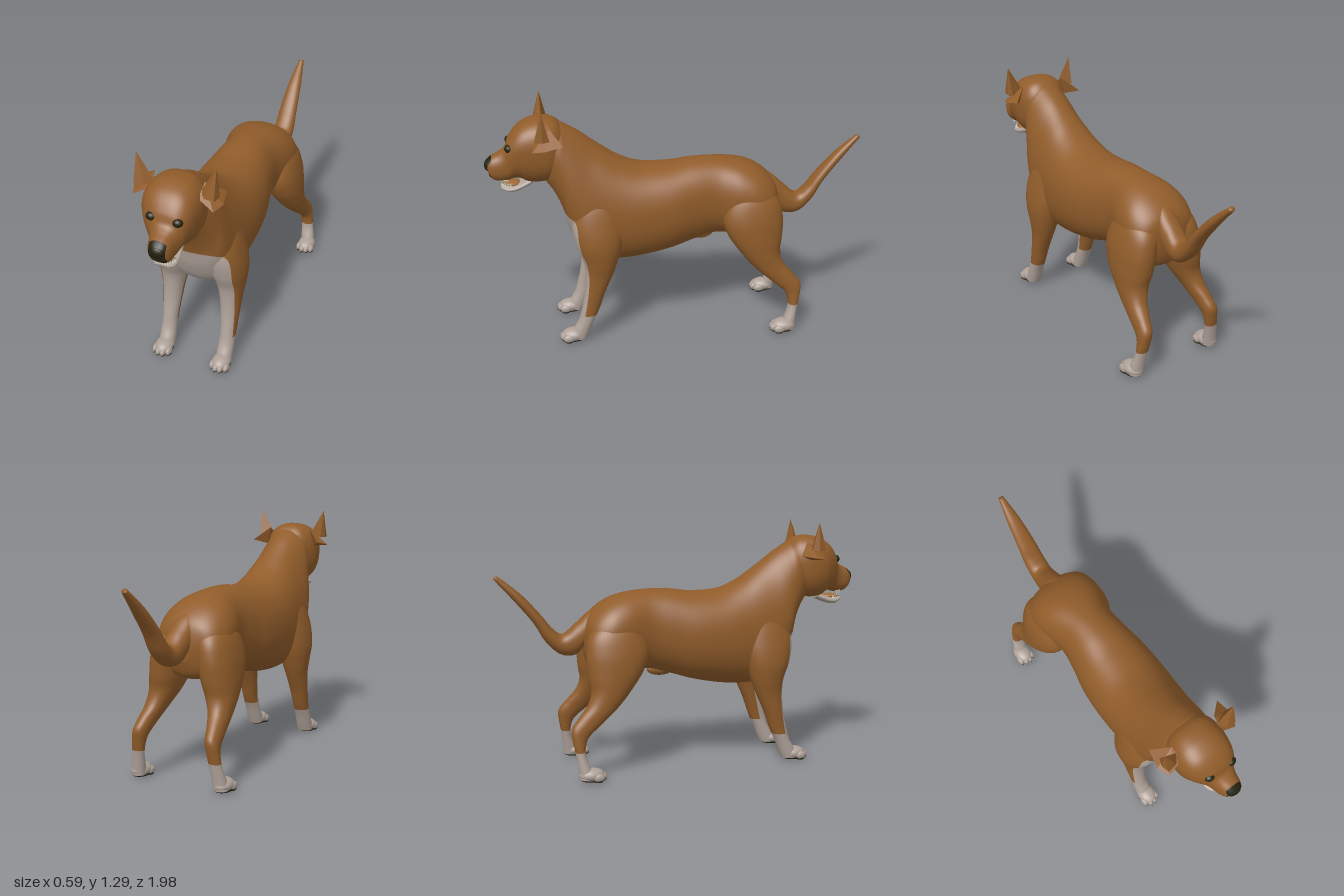
import * as THREE from 'three';
import { ConvexGeometry } from 'three/addons/geometries/ConvexGeometry.js';

const mat = (name, color) => {
  const m = new THREE.MeshStandardMaterial({ color });
  m.name = name;
  return m;
};

// Smooth loft. Each ring: [zTop, yTop, zBottom, yBottom, halfWidth, x, bottomWidening].
// Where field(x, y, z) is positive the surface takes the second material, cut along field = 0.
function loft(rings, { sides = 40, steps = 10, power = 0.92, side = 1, field = () => -1 } = {}) {
  const last = rings.length - 1, rows = last * steps, pos = [], lists = [[], []], cuts = {};
  const at = (i, k) => rings[Math.min(last, Math.max(0, i))][k] || 0;
  const spline = (i, t, k) => {
    const a = at(i - 1, k), b = at(i, k), c = at(i + 1, k), d = at(i + 2, k);
    return b + 0.5 * t * (c - a + t * (2 * a - 5 * b + 4 * c - d + t * (3 * (b - c) + d - a)));
  };
  const soft = v => Math.sign(v) * Math.abs(v) ** power;
  for (let r = 0; r <= rows; r++) {
    const i = Math.min(last - 1, Math.floor(r / steps)), t = r / steps - i;
    const [zt, yt, zb, yb, w, x, k] = [0, 1, 2, 3, 4, 5, 6].map(n => spline(i, t, n));
    for (let j = 0; j < sides; j++) {
      const a = j / sides * Math.PI * 2, c = soft(Math.cos(a)), s = soft(Math.sin(a));
      pos.push(side * x + w * c * (1 - k * s),
        (yt + yb) / 2 + (yt - yb) / 2 * s, (zt + zb) / 2 + (zt - zb) / 2 * s);
    }
  }
  for (const q of [rings[0], rings[last]])
    pos.push(side * (q[5] || 0), (q[1] + q[3]) / 2, (q[0] + q[2]) / 2);
  const value = i => field(pos[i * 3], pos[i * 3 + 1], pos[i * 3 + 2]);
  const cut = (a, b) => {
    const key = Math.min(a, b) + '_' + Math.max(a, b);
    if (cuts[key] === undefined) {
      const t = value(a) / (value(a) - value(b));
      cuts[key] = pos.length / 3;
      pos.push(...[0, 1, 2].map(k => pos[a * 3 + k] * (1 - t) + pos[b * 3 + k] * t));
    }
    return cuts[key];
  };
  const face = (...tri) => {
    const inside = tri.map(i => value(i) > 0);
    for (const k of [0, 1]) {
      const poly = [];
      tri.forEach((a, i) => {
        const n = (i + 1) % 3;
        if (inside[i] === !!k) poly.push(a);
        if (inside[i] !== inside[n]) poly.push(cut(a, tri[n]));
      });
      for (let i = 2; i < poly.length; i++) lists[k].push(poly[0], poly[i - 1], poly[i]);
    }
  };
  const end = (rows + 1) * sides;
  for (let j = 0; j < sides; j++) {
    const j2 = (j + 1) % sides;
    for (let r = 0; r < rows; r++) {
      const a = r * sides + j, b = r * sides + j2;
      face(a, b, a + sides);
      face(b, b + sides, a + sides);
    }
    face(end, j2, j);
    face(end + 1, rows * sides + j, rows * sides + j2);
  }
  const g = new THREE.BufferGeometry();
  g.setAttribute('position', new THREE.Float32BufferAttribute(pos, 3));
  g.setIndex([...lists[0], ...lists[1]]);
  g.addGroup(0, lists[0].length, 0);
  g.addGroup(lists[0].length, lists[1].length, 1);
  g.computeVertexNormals();
  return g;
}

export function createModel() {
  const dog = new THREE.Group();
  dog.name = 'dog';
  const fur = mat('brown fur', 0x905c2a), pale = mat('pale fur', 0xaea198);
  const dark = mat('dark skin', 0x23220f), tooth = mat('teeth', 0xd2cdc0), tongueMat = mat('tongue', 0xa06a38);
  const add = (name, geo, m) => {
    const mesh = new THREE.Mesh(geo, m);
    mesh.name = name;
    dog.add(mesh);
    return mesh;
  };
  const blob = (name, m, p, r, seg = 20) => {
    const b = add(name, new THREE.SphereGeometry(1, seg, Math.ceil(seg * 0.7)), m);
    b.position.set(...p);
    b.scale.set(...r);
    return b;
  };

  // Rounded pale bib on the chest, running down the front of the forelegs
  const bib = (x, y) => 0.2 - (Math.abs(x) ** 5 + Math.max(0, (y - 0.5) * 0.94) ** 5) ** 0.2;
  const bodyField = (x, y, z) => Math.min(bib(x, y), y - 0.45, z - 0.45);
  const forelegField = (x, y, z) =>
    Math.max(0.155 - y, Math.min(bib(x, y), z - 0.445 - Math.max(0, 0.4 - y) * 0.25));

  // Trunk and neck
  add('body', loft([
    [-0.54, 0.74, -0.535, 0.62, 0.05],
    [-0.51, 0.82, -0.50, 0.54, 0.15, 0, -0.05],
    [-0.43, 0.89, -0.42, 0.51, 0.195, 0, -0.05],
    [-0.33, 0.93, -0.32, 0.51, 0.192, 0, -0.05],
    [-0.20, 0.947, -0.20, 0.525, 0.163],
    [-0.08, 0.945, -0.08, 0.495, 0.175],
    [0.05, 0.93, 0.05, 0.455, 0.20],
    [0.20, 0.937, 0.20, 0.425, 0.208],
    [0.31, 0.98, 0.33, 0.415, 0.203, 0, 0.05],
    [0.40, 1.04, 0.44, 0.43, 0.195, 0, 0.12],
    [0.46, 1.085, 0.53, 0.50, 0.186, 0, 0.18],
    [0.52, 1.13, 0.585, 0.61, 0.172, 0, 0.18],
    [0.57, 1.16, 0.612, 0.72, 0.155, 0, 0.13],
    [0.61, 1.18, 0.65, 0.81, 0.138, 0, 0.05],
    [0.66, 1.19, 0.69, 0.87, 0.115]
  ], { sides: 80, steps: 8, field: bodyField }), [fur, pale]);
  blob('bellySheath', fur, [0, 0.515, -0.12], [0.03, 0.035, 0.075]);

  // Tail, tip to root
  add('tail', loft([
    [-0.965, 1.035, -0.985, 1.02, 0.014, 0.02],
    [-0.85, 0.94, -0.888, 0.91, 0.036, 0.02],
    [-0.75, 0.83, -0.79, 0.79, 0.049, 0.02],
    [-0.695, 0.76, -0.73, 0.69, 0.055, 0.02],
    [-0.64, 0.725, -0.655, 0.62, 0.058, 0.02],
    [-0.57, 0.78, -0.575, 0.615, 0.062, 0.015],
    [-0.50, 0.84, -0.51, 0.68, 0.062, 0.01],
    [-0.42, 0.88, -0.44, 0.72, 0.045, 0]
  ]), [fur, fur]);

  // Head, turned very slightly to its left
  add('head', loft([
    [0.57, 1.13, 0.61, 0.95, 0.09, 0],
    [0.63, 1.198, 0.66, 0.89, 0.13, 0],
    [0.71, 1.213, 0.72, 0.875, 0.143, -0.003, -0.04],
    [0.78, 1.197, 0.78, 0.88, 0.136, -0.002, -0.08],
    [0.83, 1.165, 0.815, 0.90, 0.12, 0.004, -0.08],
    [0.87, 1.115, 0.845, 0.905, 0.098, 0.012, -0.04],
    [0.89, 1.068, 0.87, 0.898, 0.078, 0.018],
    [0.92, 1.045, 0.90, 0.893, 0.066, 0.021, 0.05],
    [0.96, 1.025, 0.945, 0.90, 0.056, 0.025, 0.05],
    [0.985, 1.005, 0.97, 0.92, 0.042, 0.027]
  ], {
    sides: 56, power: 0.82,
    field: (x, y, z) => Math.min(z - 0.958, 0.042 - Math.abs(x - 0.026))
  }), [fur, dark]);
  blob('nose', dark, [0.027, 0.978, 0.967], [0.041, 0.034, 0.03]);

  // Open mouth
  add('lowerJaw', loft([
    [0.77, 0.90, 0.76, 0.865, 0.05, 0.008],
    [0.84, 0.872, 0.83, 0.836, 0.06, 0.01],
    [0.89, 0.866, 0.88, 0.829, 0.056, 0.014],
    [0.922, 0.864, 0.914, 0.846, 0.032, 0.017]
  ], { sides: 28 }), [pale, pale]);
  blob('tongue', tongueMat, [0.014, 0.871, 0.865], [0.042, 0.014, 0.05]);
  for (let i = 0; i < 11; i++) {
    const a = (i / 10 - 0.5) * 2.6, big = i === 2 || i === 8 ? 1.6 : 1;
    for (const upper of [1, -1]) {
      const t = add('tooth', new THREE.ConeGeometry(0.007, 0.02 * big, 6), tooth);
      t.position.set(0.018 + Math.sin(a) * (upper > 0 ? 0.054 : 0.046), upper > 0 ? 0.895 : 0.872,
        (upper > 0 ? 0.87 : 0.855) + Math.cos(a) * 0.055);
      if (upper > 0) t.rotation.x = Math.PI;
    }
  }

  // Eyes
  for (const [x, y] of [[-0.05, 1.082], [0.08, 1.077]])
    blob('eye', dark, [x, y, 0.866], [0.026, 0.021, 0.022]);

  // Foot with toes, claws and dark sole
  const paw = (name, x, z) => {
    blob(name, pale, [x, 0.036, z], [0.049, 0.036, 0.066]);
    blob('sole', dark, [x, 0.014, z + 0.002], [0.046, 0.013, 0.062]);
    for (let i = 0; i < 4; i++) {
      const dx = (i - 1.5) * 0.025, dz = Math.abs(i - 1.5) > 1 ? 0.03 : 0.046;
      blob('toe', pale, [x + dx, 0.027, z + dz], [0.0155, 0.022, 0.03], 14);
      blob('toePad', dark, [x + dx, 0.01, z + dz], [0.013, 0.009, 0.022], 10);
      const claw = add('claw', new THREE.ConeGeometry(0.005, 0.016, 6), dark);
      claw.position.set(x + dx, 0.014, z + dz + 0.026);
      claw.rotation.x = 1.9;
    }
  };

  for (const s of [1, -1]) {
    const label = s > 0 ? 'left' : 'right';

    // Foreleg from shoulder to wrist: front edge, back edge, half width, x
    add(label + 'Foreleg', loft([
      [0.48, 0.90, 0.40, 0.90, 0.03, 0.08],
      [0.545, 0.78, 0.32, 0.80, 0.072, 0.11],
      [0.572, 0.66, 0.30, 0.66, 0.088, 0.135],
      [0.555, 0.55, 0.315, 0.55, 0.092, 0.148],
      [0.522, 0.46, 0.345, 0.45, 0.074, 0.157],
      [0.515, 0.38, 0.375, 0.37, 0.058, 0.16],
      [0.522, 0.28, 0.415, 0.28, 0.049, 0.163],
      [0.543, 0.18, 0.45, 0.18, 0.041, 0.165],
      [0.56, 0.12, 0.48, 0.115, 0.041, 0.165],
      [0.59, 0.065, 0.505, 0.05, 0.043, 0.164],
      [0.60, 0.02, 0.52, 0.015, 0.042, 0.164]
    ], { side: s, field: forelegField }), [fur, pale]);
    paw(label + 'ForePaw', s * 0.164, 0.588);

    // Hind leg from thigh to hock and foot
    add(label + 'HindLeg', loft([
      [-0.33, 0.86, -0.42, 0.84, 0.04, 0.09],
      [-0.255, 0.76, -0.52, 0.74, 0.083, 0.115],
      [-0.22, 0.65, -0.545, 0.64, 0.096, 0.135],
      [-0.25, 0.55, -0.54, 0.53, 0.092, 0.15],
      [-0.32, 0.45, -0.528, 0.45, 0.077, 0.165],
      [-0.39, 0.37, -0.55, 0.385, 0.057, 0.182],
      [-0.48, 0.29, -0.60, 0.325, 0.043, 0.198],
      [-0.55, 0.23, -0.64, 0.27, 0.037, 0.209],
      [-0.572, 0.18, -0.636, 0.205, 0.034, 0.218],
      [-0.572, 0.13, -0.624, 0.14, 0.034, 0.226],
      [-0.55, 0.07, -0.613, 0.06, 0.038, 0.236],
      [-0.53, 0.02, -0.61, 0.015, 0.04, 0.242]
    ], { side: s, field: (x, y) => 0.155 - y }), [fur, pale]);
    paw(label + 'HindPaw', s * 0.242, -0.548);

    // Pointed upper ear and folded flap below it
    const hull = pts => new ConvexGeometry(pts.map(([x, y, z]) => new THREE.Vector3(s * x, y, z)));
    add(label + 'EarTip', hull([
      [0.198, 1.29, 0.70], [0.21, 1.14, 0.70], [0.115, 1.15, 0.695], [0.15, 1.14, 0.735],
      [0.2, 1.14, 0.742], [0.195, 1.14, 0.665]
    ]), fur);
    add(label + 'EarFlap', hull([
      [0.125, 1.185, 0.665], [0.12, 1.135, 0.735], [0.20, 1.09, 0.75], [0.225, 1.10, 0.69],
      [0.205, 1.115, 0.60], [0.15, 1.09, 0.67]
    ]), fur);
  }
  return dog;
}
